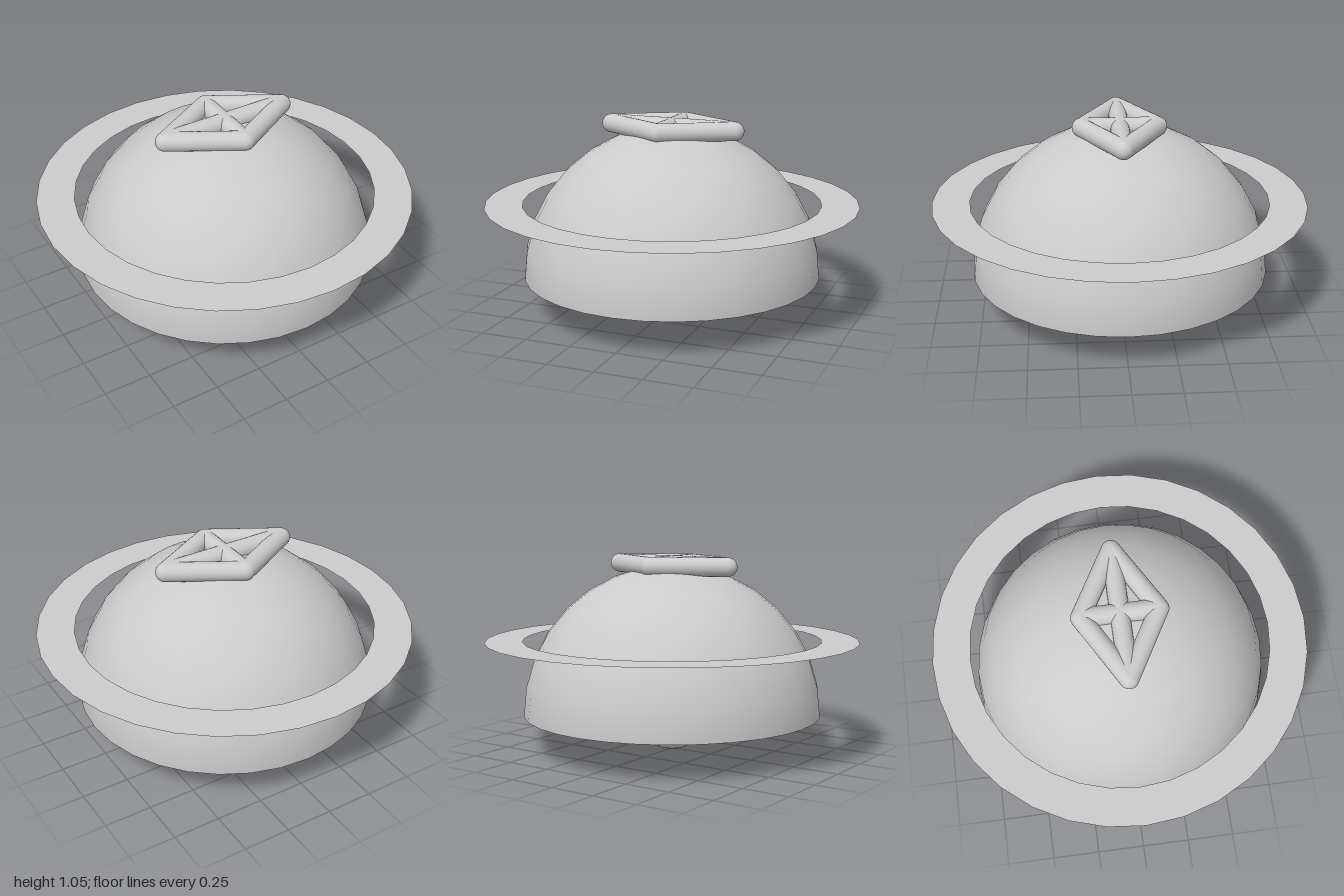
import * as THREE from 'three';

export function createModel() {
  const model = new THREE.Group();
  const solid = new THREE.MeshStandardMaterial({ color: 0xcccccc });
  const thin = new THREE.MeshStandardMaterial({ color: 0xcccccc, side: THREE.DoubleSide });

  const add = (name, geometry, material, y, parent = model) => {
    const mesh = new THREE.Mesh(geometry, material);
    mesh.name = name;
    mesh.position.y = y;
    parent.add(mesh);
    return mesh;
  };

  // Open half-sphere shell
  add('dome', new THREE.SphereGeometry(0.8, 32, 8, 0, Math.PI * 2, 0, Math.PI / 2), thin, 0.2);

  // Flat ring around the dome
  add('brim', new THREE.RingGeometry(0.8, 1, 32).rotateX(-Math.PI / 2), thin, 0.6);

  // Ball hanging in the dome's mouth
  add('ball', new THREE.SphereGeometry(0.2, 32, 16), solid, 0.2);

  // Diamond frame with crossed bars, lying on top of the dome
  const emblem = new THREE.Group();
  emblem.name = 'emblem';
  emblem.position.y = 1;
  model.add(emblem);

  const bar = (name, a, b) => {
    const dir = b.clone().sub(a);
    const mesh = add(name, new THREE.CapsuleGeometry(0.05, dir.length(), 8, 24), solid, 0, emblem);
    mesh.position.copy(a).add(b).multiplyScalar(0.5);
    mesh.quaternion.setFromUnitVectors(new THREE.Vector3(0, 1, 0), dir.normalize());
  };

  const corners = [[0.35, 0], [0, 0.2], [-0.35, 0], [0, -0.2]].map(([x, z]) => new THREE.Vector3(x, 0, z));
  corners.forEach((c, i) => bar('frameBar', c, corners[(i + 1) % 4]));
  bar('longCrossBar', corners[0], corners[2]);
  bar('shortCrossBar', corners[1], corners[3]);

  return model;
}
